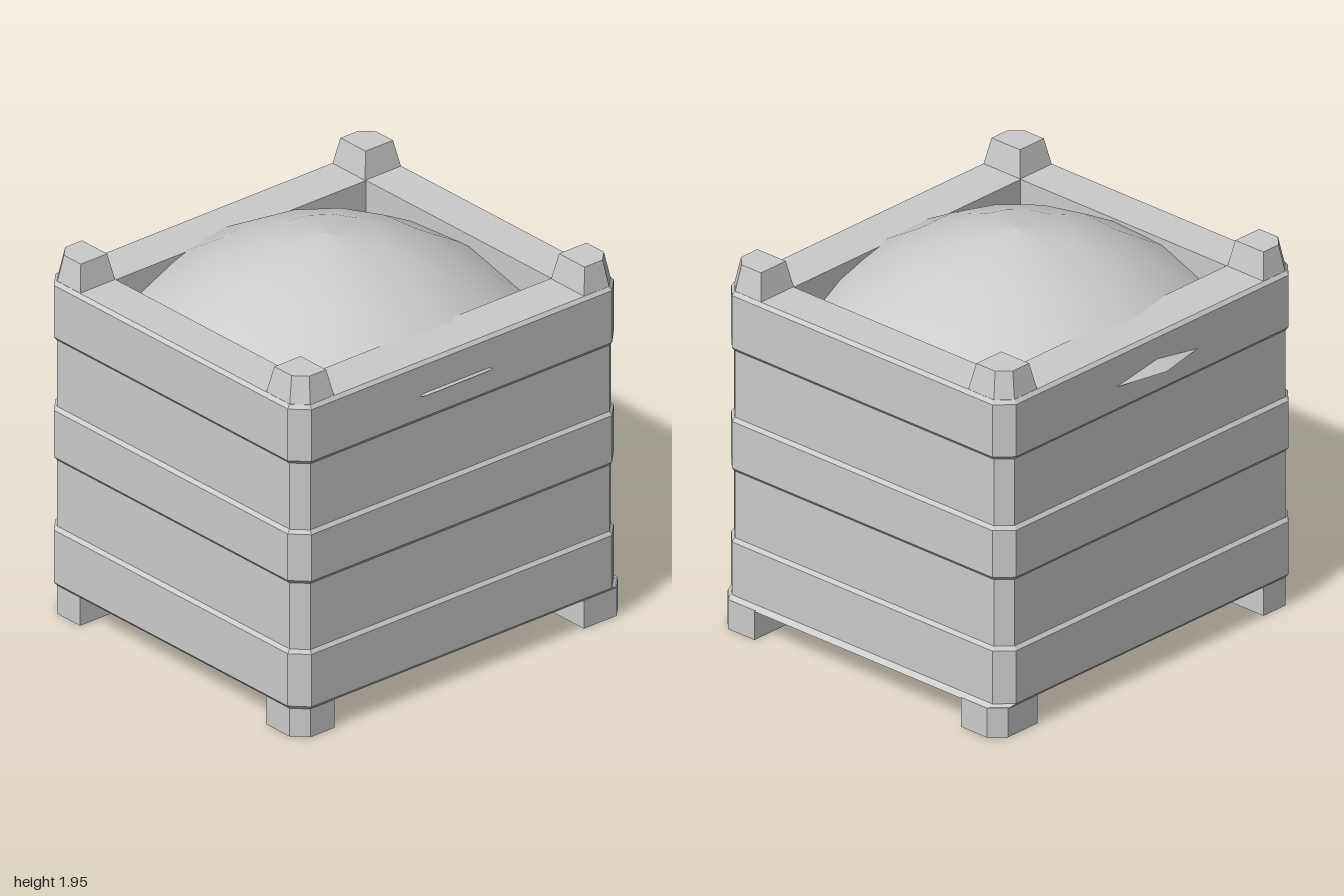
import * as THREE from 'three';

const flat = new THREE.MeshStandardMaterial({ color: 0xcccccc, flatShading: true });
const smooth = new THREE.MeshStandardMaterial({ color: 0xcccccc });

// Rectangle with cut corners; cuts = [right back, left back, left front, right front]
function ring(y, x0, x1, z0, z1, cuts) {
  const [a, b, c, d] = cuts;
  return [
    [x1, z0 + a], [x1 - a, z0], [x0 + b, z0], [x0, z0 + b],
    [x0, z1 - c], [x0 + c, z1], [x1 - d, z1], [x1, z1 - d],
  ].map(([x, z]) => [x, y, z]);
}

// Skin a stack of rings and close both ends
function loft(name, rings) {
  const pos = [];
  const tri = (a, b, c) => pos.push(...a, ...b, ...c);
  const n = rings[0].length;
  for (let i = 0; i < rings.length - 1; i++) {
    const lo = rings[i], hi = rings[i + 1];
    for (let j = 0; j < n; j++) {
      const k = (j + 1) % n;
      tri(lo[j], lo[k], hi[k]);
      tri(lo[j], hi[k], hi[j]);
    }
  }
  const first = rings[0], last = rings[rings.length - 1];
  for (let j = 1; j < n - 1; j++) {
    tri(first[0], first[j + 1], first[j]);
    tri(last[0], last[j], last[j + 1]);
  }
  const geo = new THREE.BufferGeometry();
  geo.setAttribute('position', new THREE.Float32BufferAttribute(pos, 3));
  geo.computeVertexNormals();
  const mesh = new THREE.Mesh(geo, flat);
  mesh.name = name;
  return mesh;
}

export function createModel() {
  const model = new THREE.Group();
  model.name = 'crate';

  // Crate body: three raised bands, rim, inner walls and inner floor
  const all = (c) => [c, c, c, c];
  const recess = (y, back = -0.955) => ring(y, -0.857, 0.9, back, 0.985, all(0.067));
  const band = (y) => ring(y, -0.872, 0.914, -0.97, 1.0, all(0.077));
  const opening = (y) => ring(y, -0.625, 0.665, -0.74, 0.772, all(0));
  const rings = [];
  for (const [y0, y1] of [[0.145, 0.45], [0.79, 1.065], [1.405, 1.707]]) {
    rings.push(recess(y0, y0 < 0.2 ? -1.0 : -0.955), band(y0 + 0.018), band(y1 - 0.018), recess(y1));
  }
  rings.push(opening(1.707), opening(1.5));
  model.add(loft('body', rings));

  // Feet below and tapered stacking posts above, cut on their outer corner
  for (const left of [true, false]) {
    for (const front of [true, false]) {
      const cuts = [[false, false], [true, false], [true, true], [false, true]]
        .map(([l, f]) => (l !== left && f === front ? 0.067 : 0));
      const [x0, x1] = left ? [0.668, 0.9] : [-0.857, -0.628];
      const [z0, z1] = front ? [0.772, 0.985] : [-0.955, -0.735];
      const footBack = front ? z0 : -1.0;
      const label = (front ? 'front' : 'back') + (left ? 'Left' : 'Right');
      model.add(loft(label + 'Foot', [
        ring(0, x0, x1, footBack, z1, cuts),
        ring(0.15, x0, x1, footBack, z1, cuts),
      ]));
      const t = 0.027;
      model.add(loft(label + 'Post', [
        ring(1.7, x0, x1, z0, z1, cuts),
        ring(1.838, x0 + t, x1 - t, z0 + t, z1 - t, cuts.map((c) => c * 0.85)),
      ]));
    }
  }

  // Heaped contents: shallow dome with a flat underside
  const heap = new THREE.Group();
  heap.name = 'heap';
  heap.position.set(0.008, 0, 0.048);
  const profile = [[0.938, 1.535], [0.75, 1.68], [0.515, 1.815], [0.262, 1.912], [0, 1.95]]
    .map(([r, y]) => new THREE.Vector2(r, y));
  const dome = new THREE.Mesh(new THREE.LatheGeometry(profile, 15, -Math.PI / 2), smooth);
  dome.name = 'heapDome';
  const base = new THREE.Mesh(new THREE.CircleGeometry(0.938, 15, Math.PI), flat);
  base.name = 'heapBase';
  base.rotation.x = Math.PI / 2;
  base.position.y = 1.535;
  heap.add(dome, base);
  model.add(heap);

  return model;
}
